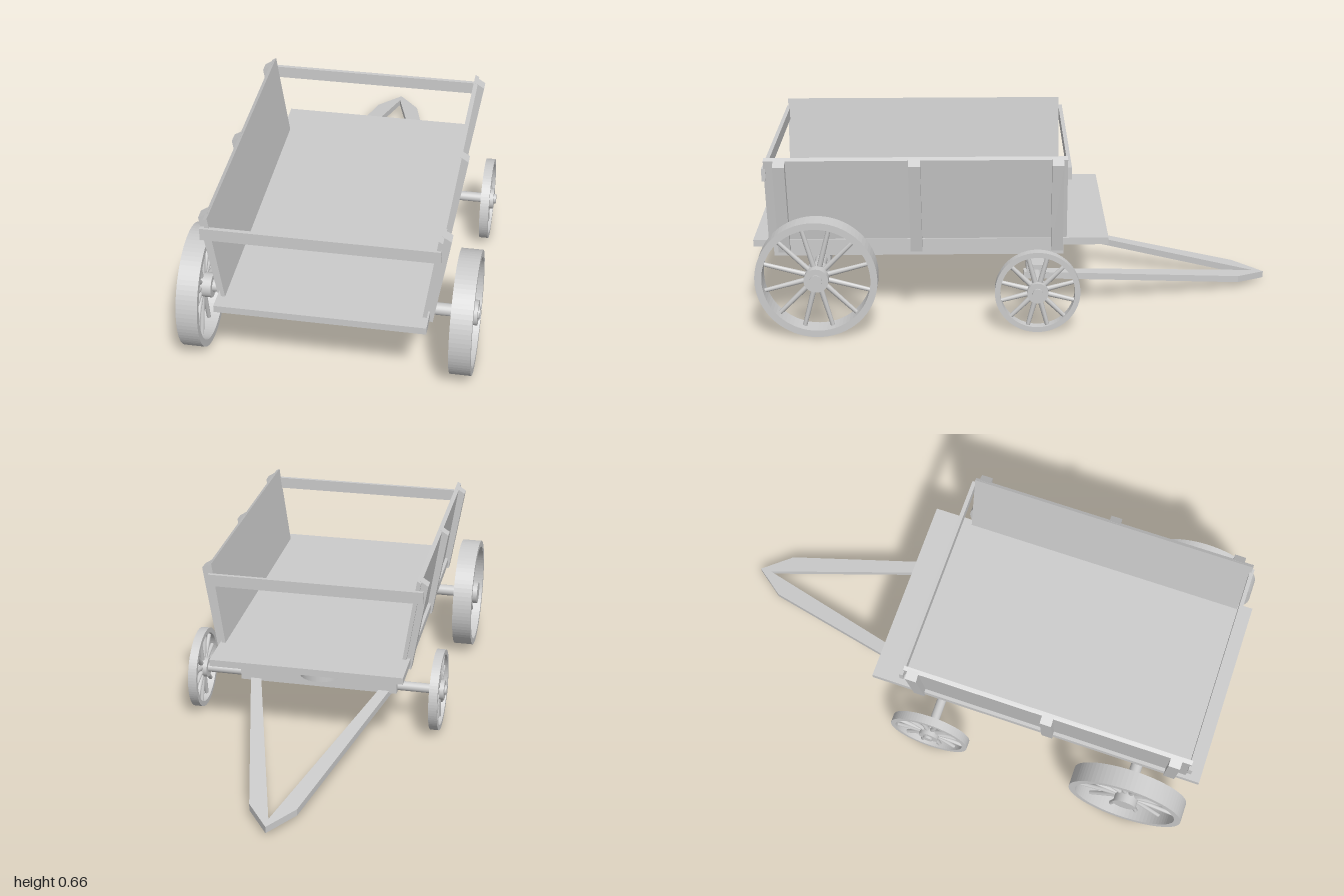
import * as THREE from 'three';

const CX = -0.008; // centre line of the wagon
const material = new THREE.MeshStandardMaterial({ color: 0xcccccc, side: THREE.DoubleSide });

function add(parent, name, geometry, x = 0, y = 0, z = 0) {
  const mesh = new THREE.Mesh(geometry, material);
  mesh.name = name;
  mesh.position.set(x, y, z);
  parent.add(mesh);
  return mesh;
}

// box given by its limits on each axis
function beam(parent, name, [x0, x1], [y0, y1], [z0, z1]) {
  return add(parent, name, new THREE.BoxGeometry(x1 - x0, y1 - y0, z1 - z0),
    (x0 + x1) / 2, (y0 + y1) / 2, (z0 + z1) / 2);
}

// prism along z from an outline in x and y
function prism(points, z0, z1, side) {
  const shape = new THREE.Shape(points.map(([x, y]) => new THREE.Vector2(x * side, y)));
  const g = new THREE.ExtrudeGeometry(shape, { depth: z1 - z0, bevelEnabled: false });
  return g.translate(0, 0, z0);
}

function rod(radius, length) {
  return new THREE.CylinderGeometry(radius, radius, length, 20).rotateZ(Math.PI / 2);
}

// spoked wheel turning about x
function makeWheel(name, radius, width, rimDepth, hubRadius, hubLength) {
  const wheel = new THREE.Group();
  wheel.name = name;
  const rim = new THREE.Shape().absarc(0, 0, radius, 0, Math.PI * 2);
  rim.holes.push(new THREE.Path().absarc(0, 0, radius - rimDepth, 0, Math.PI * 2, true));
  const rimGeometry = new THREE.ExtrudeGeometry(rim, { depth: width, bevelEnabled: false, curveSegments: 40 });
  add(wheel, 'rim', rimGeometry.translate(0, 0, -width / 2).rotateY(Math.PI / 2));
  add(wheel, 'hub', rod(hubRadius, hubLength));
  const inner = radius - rimDepth / 2;
  const count = 12;
  for (let i = 0; i < count; i++) {
    const spoke = new THREE.CylinderGeometry(0.008, 0.011, inner, 8).translate(0, inner / 2, 0);
    add(wheel, 'spoke', spoke).rotation.x = ((i + 0.5) / count) * Math.PI * 2;
  }
  return wheel;
}

export function createModel() {
  const model = new THREE.Group();
  model.name = 'wagon';
  const body = new THREE.Group();
  body.name = 'body';
  body.position.x = CX;
  model.add(body);

  // floor, running beams and the cross bolster over the front axle
  beam(body, 'floor', [-0.381, 0.374], [0.307, 0.334], [-0.338, 1]);
  for (const s of [-1, 1]) {
    add(body, 'longBeam', new THREE.BoxGeometry(0.052, 0.055, 1.1), s * 0.302, 0.28, 0.38);
  }
  beam(body, 'frontBolster', [-0.31, 0.31], [0.255, 0.307], [-0.11, -0.02]);

  // leaning side boards with three stakes each
  const board = [[0.35, 0.318], [0.365, 0.318], [0.416, 0.657], [0.401, 0.666]];
  const stake = [[0.352, 0.296], [0.384, 0.287], [0.442, 0.641], [0.408, 0.663]];
  for (const s of [-1, 1]) {
    add(body, 'sideBoard', prism(board, -0.18, 0.942, s));
    for (const z of [-0.143, 0.387, 0.884]) {
      add(body, 'stake', prism(stake, z - 0.022, z + 0.022, s));
    }
  }

  // rails across both ends
  for (const z of [-0.187, 0.943]) {
    add(body, 'endRail', new THREE.BoxGeometry(0.84, 0.047, 0.015), -0.008, 0.603, z);
  }

  // axles and their blocks
  beam(body, 'rearAxleBlock', [-0.32, 0.312], [0.21, 0.264], [0.72, 0.79]);
  add(body, 'rearAxle', rod(0.023, 1.05), 0.012, 0.229, 0.754);
  beam(body, 'frontAxleBlock', [-0.32, 0.312], [0.144, 0.199], [-0.105, -0.03]);
  add(body, 'frontAxle', rod(0.019, 1.03), 0, 0.163, -0.067);
  add(body, 'turntable', new THREE.CylinderGeometry(0.087, 0.087, 0.1, 28), -0.008, 0.237, -0.067);

  // wheels
  for (const s of [-1, 1]) {
    const rear = makeWheel('rearWheel', 0.227, 0.078, 0.026, 0.046, 0.084);
    rear.position.set(s * 0.489, 0.229, 0.754);
    const front = makeWheel('frontWheel', 0.16, 0.034, 0.02, 0.04, 0.05);
    front.position.set(s * 0.481, 0.162, -0.067);
    body.add(rear, front);
  }

  // drawbar: two arms meeting in a point, sloping to the ground
  const arm = [[0.302, -0.02], [0.088, -0.885], [0, -1], [0, -0.955], [0.262, -0.02]];
  for (const s of [-1, 1]) {
    const shape = new THREE.Shape(arm.map(([x, z]) => new THREE.Vector2(s * x, -z)));
    const g = new THREE.ExtrudeGeometry(shape, { depth: 0.026, bevelEnabled: false });
    g.rotateX(-Math.PI / 2);
    const p = g.attributes.position;
    for (let i = 0; i < p.count; i++) {
      p.setY(i, p.getY(i) + 0.141 + 0.13 * p.getZ(i));
    }
    g.computeVertexNormals();
    add(body, 'drawbarArm', g, -0.009);
  }
  return model;
}
